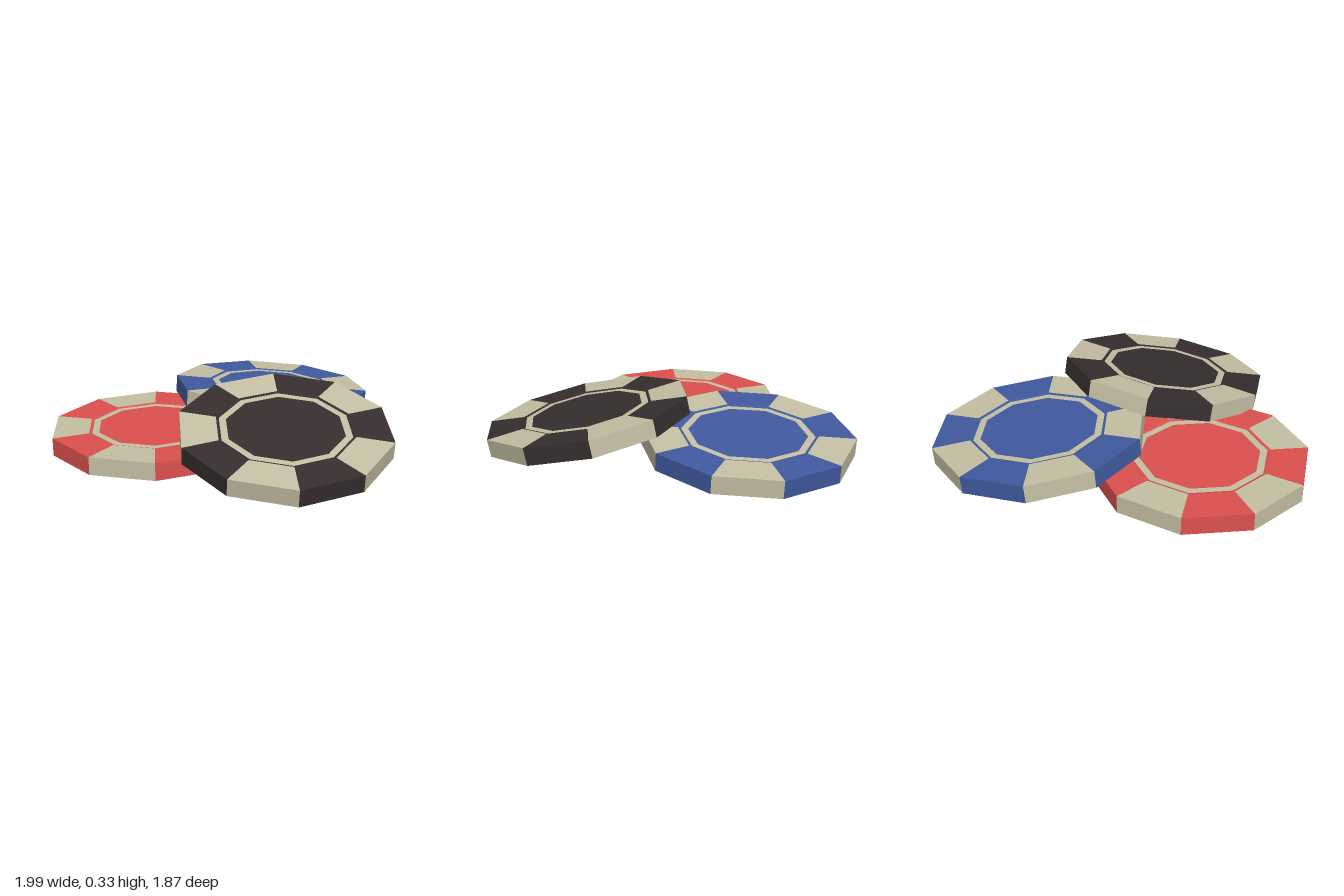
import * as THREE from 'three';
import { mergeGeometries } from 'three/addons/utils/BufferGeometryUtils.js';

const SIDES = 10, STEP = (Math.PI * 2) / SIDES;
const R = 0.578, H = 0.049, DIP = 0.005; // radius, half thickness, depth of the inlay
const R_EDGE = 0.376, R_RING = 0.36, R_DISC = 0.321;

// One flat-shaded lathe piece from [radius, height] pairs, listed bottom to top
function sweep(points, start, count) {
  const g = new THREE.LatheGeometry(
    points.map(([r, y]) => new THREE.Vector2(r, y)), count, start * STEP, count * STEP
  ).toNonIndexed();
  g.computeVertexNormals();
  return g;
}

// The same band on the bottom and the top face
function faces(r0, y0, r1, y1) {
  return mergeGeometries([
    sweep([[r0, -y0], [r1, -y1]], 0, SIDES),
    sweep([[r1, y1], [r0, y0]], 0, SIDES),
  ]);
}

// Five of the ten rim blocks, every second one
function rimBlocks(first) {
  const profile = [[R_EDGE, -H], [R, -H], [R, H], [R_EDGE, H]];
  const parts = [];
  for (let k = first; k < SIDES; k += 2) parts.push(sweep(profile, k, 1));
  return mergeGeometries(parts);
}

export function createModel() {
  const material = (name, color) => {
    const m = new THREE.MeshStandardMaterial({ color, flatShading: true });
    m.name = name;
    return m;
  };
  const cream = material('cream', 0xc4bfa3);
  const red = material('red', 0xdb514e);
  const blue = material('blue', 0x405a9f);
  const black = material('charcoal', 0x362e2e);

  const y = H - DIP;
  const colouredRim = rimBlocks(0), creamRim = rimBlocks(1);
  const groove = faces(R_RING, y, R_EDGE, H);
  const ring = faces(R_DISC, y, R_RING, y);
  const disc = faces(0, y, R_DISC, y);

  // A chip with its centre, spin in degrees and the direction its top faces
  function chip(name, colour, centre, spin, normal) {
    const g = new THREE.Group();
    g.name = name;
    const add = (part, geometry, mat) => {
      const mesh = new THREE.Mesh(geometry, mat);
      mesh.name = part;
      g.add(mesh);
    };
    add('colouredRimBlocks', colouredRim, colour);
    add('creamRimBlocks', creamRim, cream);
    add('groove', groove, colour);
    add('inlayRing', ring, cream);
    add('centreDisc', disc, colour);
    const up = new THREE.Vector3(0, 1, 0);
    g.quaternion
      .setFromUnitVectors(up, new THREE.Vector3(...normal).normalize())
      .multiply(new THREE.Quaternion().setFromAxisAngle(up, THREE.MathUtils.degToRad(spin)));
    g.position.set(...centre);
    return g;
  }

  // One chip lies flat, the other two lean on it
  const model = new THREE.Group();
  model.name = 'chips';
  model.add(
    chip('redChip', red, [-0.45, 0.066, -0.36], 180, [0, 1, 0]),
    chip('blueChip', blue, [0.417, 0.122, -0.364], 152.9, [0.091, 1, 0]),
    chip('blackChip', black, [-0.123, 0.172, 0.351], -35.5, [-0.108, 1, 0.175])
  );
  return model;
}
